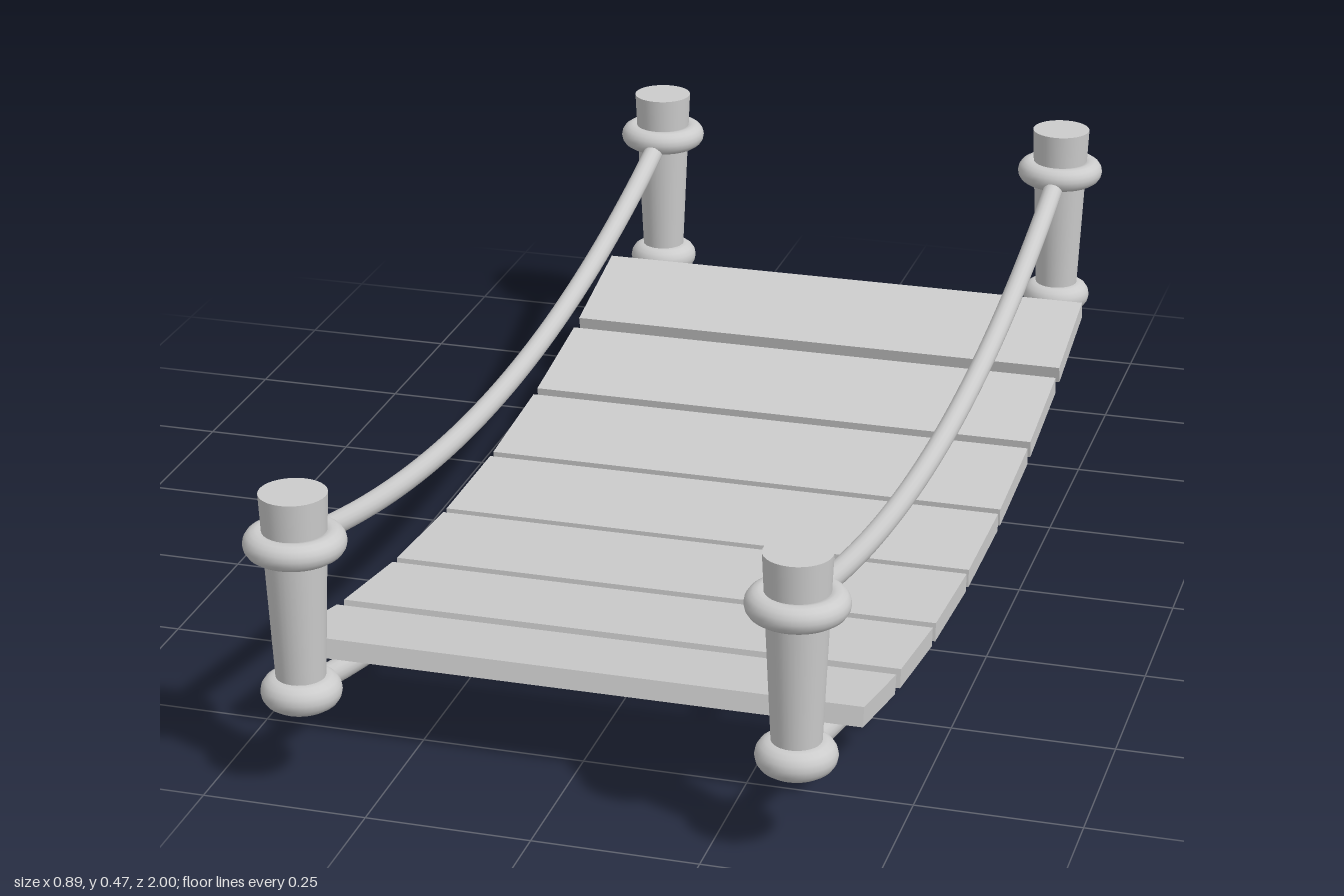
import * as THREE from 'three';

const POST_X = 0.37, POST_Z = 0.925;
const material = new THREE.MeshStandardMaterial({ color: 0xcccccc });

function part(name, geometry, parent) {
  const mesh = new THREE.Mesh(geometry, material);
  mesh.name = name;
  parent.add(mesh);
  return mesh;
}

// Height of a sagging rope at depth z
const sag = (z, low, high) => low + (high - low) * (z / POST_Z) ** 2;

function ropeGeometry(low, high, radius) {
  const points = [];
  for (let i = 0; i <= 12; i++) {
    const z = POST_Z * (i / 6 - 1);
    points.push(new THREE.Vector3(0, sag(z, low, high), z));
  }
  return new THREE.TubeGeometry(new THREE.CatmullRomCurve3(points), 48, radius, 16);
}

function createPost() {
  const post = new THREE.Group();
  post.name = 'post';
  // Tapered shaft, wider at the top
  part('shaft', new THREE.CylinderGeometry(0.05, 0.035, 0.326, 32), post).position.y = 0.303;
  // Rope windings around the shaft
  for (const [name, y, ring, tube] of [
    ['upperWinding', 0.389, 0.0545, 0.0205],
    ['lowerWinding', 0.154, 0.0355, 0.024],
  ]) {
    const geometry = new THREE.TorusGeometry(ring, tube, 16, 40).rotateX(Math.PI / 2);
    part(name, geometry, post).position.y = y;
  }
  return post;
}

export function createModel() {
  const bridge = new THREE.Group();
  bridge.name = 'ropeBridge';

  const deckRope = ropeGeometry(0.018, 0.155, 0.018);
  const handRope = ropeGeometry(0.255, 0.39, 0.017);

  for (const side of [-1, 1]) {
    // Corner posts
    for (const end of [-1, 1]) {
      const post = createPost();
      post.position.set(side * POST_X, 0, end * POST_Z);
      bridge.add(post);
    }
    // Deck rope and handrail rope
    part('deckRope', deckRope, bridge).position.x = side * POST_X;
    part('handrailRope', handRope, bridge).position.x = side * POST_X;
  }

  // Planks follow the curve of the deck ropes
  for (let i = -3; i <= 3; i++) {
    const z = i * 0.2385 - 0.007;
    const width = 0.222 - 0.0018 * i * i;
    const plank = part('plank', new THREE.BoxGeometry(0.876, 0.03, width), bridge);
    plank.position.set(0, sag(z, 0.018, 0.155) + 0.042, z);
    plank.rotation.x = -Math.atan(2 * (0.155 - 0.018) * z / POST_Z ** 2);
  }

  return bridge;
}
